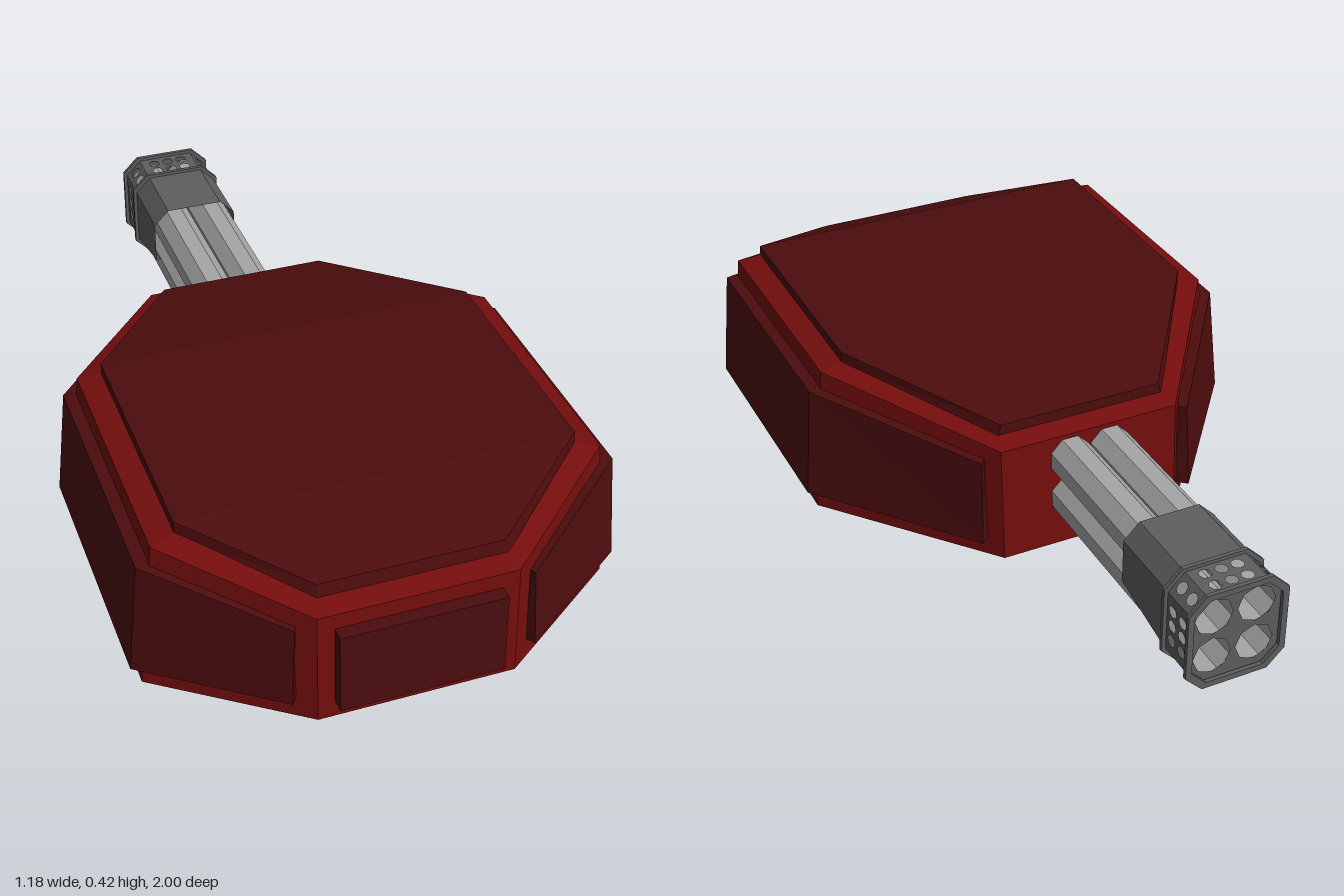
import * as THREE from 'three';

const mat = (name, color, side = THREE.FrontSide) => {
  const m = new THREE.MeshStandardMaterial({ color, side });
  m.name = name;
  return m;
};

// Skin a list of equal-length rings; caps are split into strips so they may bend
function loft(rings, { closed = true, caps = true } = {}) {
  const pos = [];
  const quad = (a, b, c, d) => pos.push(...a, ...b, ...c, ...a, ...c, ...d);
  const n = rings[0].length;
  for (let r = 0; r < rings.length - 1; r++)
    for (let i = 0; i < (closed ? n : n - 1); i++) {
      const j = (i + 1) % n;
      quad(rings[r][i], rings[r][j], rings[r + 1][j], rings[r + 1][i]);
    }
  if (caps) {
    const a = rings[0], b = rings[rings.length - 1];
    for (let k = 0; k < n / 2 - 1; k++) {
      quad(b[n - 1 - k], b[k], b[k + 1], b[n - 2 - k]);
      quad(a[n - 2 - k], a[k + 1], a[k], a[n - 1 - k]);
    }
  }
  const g = new THREE.BufferGeometry();
  g.setAttribute('position', new THREE.Float32BufferAttribute(pos, 3));
  g.computeVertexNormals();
  return g;
}

const flip = ([x, y, z]) => [-x, y, z];
const ring = half => [...half, ...half.map(flip).reverse()];

export function createModel() {
  const red = mat('hull red', 0x740d0d);
  const maroon = mat('armour maroon', 0x4c0c0d);
  const darkGrey = mat('gun dark grey', 0x5e5e5e, THREE.DoubleSide);
  const steel = mat('barrel light grey', 0xa6a6a6, THREE.DoubleSide);
  const model = new THREE.Group();
  const add = (name, geometry, material, parent = model) => {
    const m = new THREE.Mesh(geometry, material);
    m.name = name;
    parent.add(m);
    return m;
  };

  // Eight-sided hull with sloped front and rear decks
  add('hull', loft([
    ring([[0.235, 0, 0.97], [0.567, 0, 0.735], [0.567, 0, 0.08], [0.235, 0, -0.325]]),
    ring([[0.235, 0.283, 0.95], [0.53, 0.38, 0.725], [0.53, 0.38, 0.09], [0.235, 0.3, -0.31]]),
    ring([[0.222, 0.305, 0.91], [0.475, 0.392, 0.71], [0.475, 0.388, 0.1], [0.222, 0.315, -0.262]]),
  ]), red);

  // Raised roof plate
  add('roofPlate', loft([
    ring([[0.222, 0.3, 0.912], [0.472, 0.385, 0.71], [0.472, 0.385, 0.1], [0.222, 0.308, -0.262]]),
    ring([[0.218, 0.333, 0.9], [0.472, 0.42, 0.705], [0.472, 0.416, 0.1], [0.212, 0.342, -0.262]]),
  ]), maroon);

  // Wrap-around side armour: inner low, inner high, outer high, outer low
  const band = [
    [[0.265, 0.05, 0.925], [0.265, 0.25, 0.905], [0.28, 0.25, 0.938], [0.288, 0.05, 0.955]],
    [[0.545, 0.05, 0.71], [0.52, 0.335, 0.7], [0.565, 0.335, 0.728], [0.592, 0.05, 0.737]],
    [[0.545, 0.05, 0.1], [0.52, 0.335, 0.11], [0.565, 0.335, 0.085], [0.592, 0.05, 0.075]],
    [[0.25, 0.05, -0.28], [0.25, 0.27, -0.26], [0.278, 0.27, -0.295], [0.285, 0.05, -0.31]],
  ];
  add('leftSideArmour', loft(band), maroon);
  add('rightSideArmour', loft(band.map(s => s.map(flip).reverse())), maroon);

  // Front armour plate
  const frontRect = (zLow, zHigh) => [
    [-0.195, 0.042, zLow], [0.195, 0.042, zLow], [0.195, 0.245, zHigh], [-0.195, 0.245, zHigh]];
  add('frontArmour', loft([frontRect(0.95, 0.935), frontRect(0.999, 0.985)]), maroon);

  // Four-barrel gun pointing to the rear
  const gun = new THREE.Group();
  gun.name = 'gun';
  model.add(gun);
  const cy = 0.185;
  const centres = [-1, 1].flatMap(sx => [-1, 1].map(sy => [sx * 0.053, cy + sy * 0.053]));
  for (const [x, y] of centres) {
    const tube = new THREE.CylinderGeometry(0.055, 0.055, 0.7, 8, 1, true).toNonIndexed();
    tube.rotateY(Math.PI / 8).rotateX(Math.PI / 2).computeVertexNormals();
    add('barrel', tube, steel, gun).position.set(x, y, -0.63);
    const plug = new THREE.CircleGeometry(0.054, 8).rotateZ(Math.PI / 8).rotateY(Math.PI);
    add('barrelPlug', plug, steel, gun).position.set(x, y, -0.75);
  }

  // Chamfered muzzle outline, running from bottom left over the top to bottom right
  const outline = (w, h, c) => [
    [-w + c, -h], [-w, -h + c], [-w, h - c], [-w + c, h],
    [w - c, h], [w, h - c], [w, -h + c], [w - c, -h]].map(([x, y]) => [x, y + cy]);
  const sleeve = outline(0.116, 0.118, 0.04);

  // Hood whose underside is cut away at a slant
  add('muzzleHood', loft([
    sleeve.map(([x, y]) => [x, Math.max(y, 0.15), -0.695]),
    sleeve.map(([x, y]) => [x, y, -0.89]),
  ], { closed: false, caps: false }), darkGrey, gun);

  // Perforated sleeve, one wall for each side of the outline
  sleeve.forEach(([x0, y0], i) => {
    const [x1, y1] = sleeve[(i + 1) % 8];
    const length = Math.hypot(x1 - x0, y1 - y0);
    const wall = new THREE.Shape([[0, 0], [length, 0], [length, 0.1], [0, 0.1]]
      .map(p => new THREE.Vector2(...p)));
    const columns = length > 0.1 ? [-0.04, 0, 0.04] : [0];
    for (const c of columns)
      for (const v of [0.03, 0.072])
        wall.holes.push(new THREE.Path().absarc(length / 2 + c, v, 0.015, 0, Math.PI * 2, true));
    const g = new THREE.ShapeGeometry(wall, 4);
    const along = new THREE.Vector3(x1 - x0, y1 - y0, 0).normalize();
    const back = new THREE.Vector3(0, 0, -1);
    const basis = new THREE.Matrix4().makeBasis(along, back, along.clone().cross(back));
    g.applyMatrix4(basis.setPosition(x0, y0, -0.89));
    add('perforatedWall', g, darkGrey, gun);
  });

  // Raised frames at both ends of the sleeve
  const toVectors = pts => pts.map(p => new THREE.Vector2(...p));
  for (const z of [-0.896, -1]) {
    const frame = new THREE.Shape(toVectors(outline(0.125, 0.127, 0.043)));
    frame.holes.push(new THREE.Path(toVectors(outline(0.11, 0.112, 0.038))));
    const g = new THREE.ExtrudeGeometry(frame, { depth: 0.01, bevelEnabled: false });
    add('muzzleFrame', g, darkGrey, gun).position.z = z;
  }

  // End plate with an opening for each barrel
  const plate = new THREE.Shape(toVectors(sleeve));
  for (const [x, y] of centres)
    plate.holes.push(new THREE.Path().absarc(x, y, 0.047, 0, Math.PI * 2, true));
  add('muzzlePlate', new THREE.ShapeGeometry(plate, 4), darkGrey, gun).position.z = -0.985;

  return model;
}
